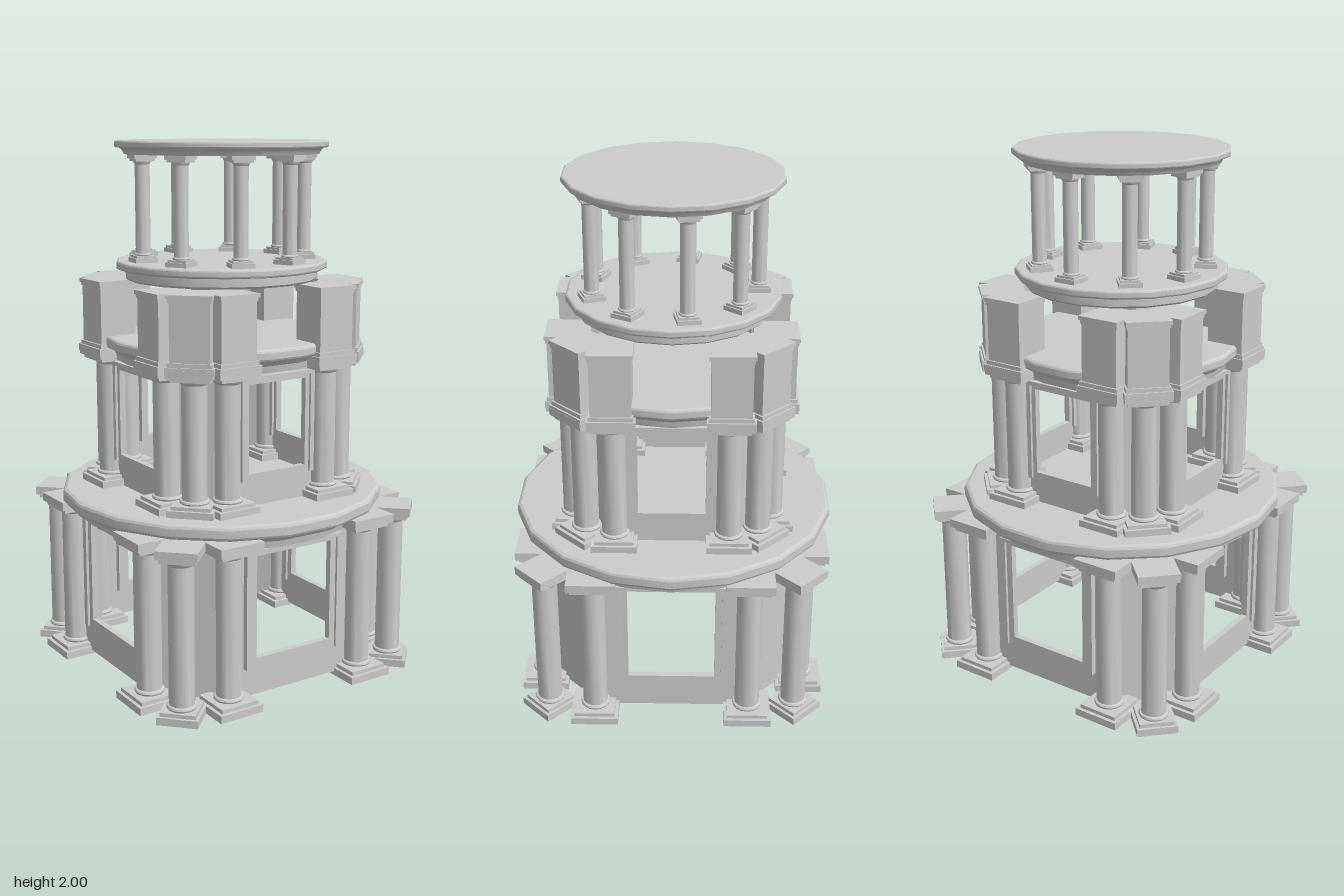
import * as THREE from 'three';
import { toCreasedNormals } from 'three/addons/utils/BufferGeometryUtils.js';

const smooth = new THREE.MeshStandardMaterial({ color: 0xcccccc });
const flat = new THREE.MeshStandardMaterial({ color: 0xcccccc, flatShading: true });
const thin = new THREE.MeshStandardMaterial({ color: 0xcccccc, side: THREE.DoubleSide });

function add(parent, name, geometry, material = flat) {
  const mesh = new THREE.Mesh(geometry, material);
  mesh.name = name;
  parent.add(mesh);
  return mesh;
}

function group(parent, name, angle = 0) {
  const g = new THREE.Group();
  g.name = name;
  g.rotation.y = angle;
  parent.add(g);
  return g;
}

// Box standing on height y0, reaching to y1
function block(parent, name, w, d, y0, y1, x = 0, z = 0) {
  const mesh = add(parent, name, new THREE.BoxGeometry(w, y1 - y0, d));
  mesh.position.set(x, (y0 + y1) / 2, z);
}

// Eighteen-sided disc from [radius, height] pairs, with a corner on the x axis
function disc(parent, name, profile) {
  const pts = profile.map(([r, y]) => new THREE.Vector2(r, y));
  const geometry = toCreasedNormals(new THREE.LatheGeometry(pts, 18), 0.45);
  add(parent, name, geometry, smooth).rotation.y = Math.PI / 2;
}

// Slab with softened rim
function slab(parent, name, r, y0, y1) {
  const b = (y1 - y0) * 0.25;
  disc(parent, name, [[0, y0], [r - b, y0], [r - b * 0.3, y0 + b * 0.4], [r, y0 + b],
    [r, y1 - b], [r - b * 0.3, y1 - b * 0.4], [r - b, y1], [0, y1]]);
}

// Column with stepped square base and capital; u scales the mouldings
function column(parent, name, r, size, y0, y1, u) {
  const g = group(parent, name);
  block(g, 'plinth', size, size, y0, y0 + 0.028 * u);
  block(g, 'plinthStep', size * 0.85, size * 0.85, y0 + 0.028 * u, y0 + 0.042 * u);
  block(g, 'capitalStep', size * 0.85, size * 0.85, y1 - 0.048 * u, y1 - 0.032 * u);
  block(g, 'abacus', size, size, y1 - 0.032 * u, y1);
  const a = y0 + 0.042 * u, b = y1 - 0.048 * u;
  const pts = [[r * 1.15, a], [r * 1.2, a + 0.006 * u], [r * 1.15, a + 0.012 * u], [r, a + 0.015 * u],
    [r, b - 0.018 * u], [r * 1.15, b - 0.008 * u], [r * 1.2, b]];
  const shaft = new THREE.LatheGeometry(pts.map(p => new THREE.Vector2(...p)), 16);
  add(g, 'shaft', toCreasedNormals(shaft, 0.5), smooth);
  return g;
}

// Repeats a front pair (at x = +-a, z = d) and a diagonal piece (distance e) on four sides
function clusters(parent, make, a, d, e) {
  for (let k = 0; k < 4; k++) {
    const side = group(parent, 'clusterSide', k * Math.PI / 2);
    for (const s of [-1, 1]) make(side, false).position.set(s * a, 0, d);
    make(group(side, 'cornerPivot', Math.PI / 4), true).position.z = e;
  }
}

function rect(shape, hw, y0, y1) {
  shape.moveTo(-hw, y0);
  shape.lineTo(hw, y0);
  shape.lineTo(hw, y1);
  shape.lineTo(-hw, y1);
  shape.closePath();
  return shape;
}

// Eight-sided thin shell, with a framed window on each of the four main sides
function walls(parent, hw, d, y0, y1, win, frame) {
  const [w, b, t] = win;
  const [fw, fb, ft] = frame;
  const mw = (w + fw) / 2, mt = (t + ft) / 2;
  for (let k = 0; k < 4; k++) {
    const side = group(parent, 'wallSide', k * Math.PI / 2);
    const front = rect(new THREE.Shape(), hw, y0, y1);
    front.holes.push(rect(new THREE.Path(), w, b, t));
    add(side, 'windowWall', new THREE.ShapeGeometry(front), thin).position.z = d;

    // Stepped jambs and lintels, over a plain sill
    for (const [name, ow, ot, iw, it, low, depth] of [
      ['outer', fw, ft, mw, mt, fb, 0.044], ['inner', mw, mt, w, t, b, 0.024]]) {
      for (const s of [-1, 1]) block(side, name + 'Jamb', ow - iw, depth, low, ot, s * (ow + iw) / 2, d);
      block(side, name + 'Lintel', iw * 2, depth, it, ot, 0, d);
    }
    block(side, 'sill', mw * 2, 0.024, fb, b, 0, d);

    const corner = rect(new THREE.Shape(), (d - hw) / Math.SQRT2, y0, y1);
    const pivot = group(side, 'cornerWallPivot', Math.PI / 4);
    add(pivot, 'cornerWall', new THREE.ShapeGeometry(corner), thin).position.z = (d + hw) / Math.SQRT2;
  }
}

export function createModel() {
  const model = new THREE.Group();
  model.name = 'tieredTower';

  // Ground storey
  const lower = group(model, 'lowerStorey');
  walls(lower, 0.27, 0.48, 0.015, 0.6, [0.165, 0.16, 0.55], [0.215, 0.125, 0.575]);
  clusters(lower, (side, diag) =>
    column(side, diag ? 'cornerColumn' : 'frontColumn', 0.047, diag ? 0.152 : 0.18, 0, 0.64, 1),
  0.292, 0.5, 0.666);
  disc(lower, 'lowerEntablature', [[0, 0.585], [0.545, 0.585], [0.55, 0.61], [0.575, 0.62], [0.59, 0.64], [0, 0.64]]);
  slab(lower, 'lowerSlab', 0.62, 0.638, 0.695);

  // Second storey
  const middle = group(model, 'middleStorey');
  walls(middle, 0.21, 0.365, 0.695, 1.21, [0.125, 0.82, 1.15], [0.16, 0.795, 1.18]);
  clusters(middle, (side, diag) =>
    column(side, diag ? 'cornerColumn' : 'frontColumn', 0.047, 0.17, 0.695, 1.225, 0.9),
  0.212, 0.37, 0.453);
  disc(middle, 'middleEntablature', [[0, 1.19], [0.405, 1.19], [0.41, 1.215], [0.43, 1.24], [0, 1.24]]);
  slab(middle, 'middleSlab', 0.447, 1.235, 1.28);

  // Corner pedestals
  const attic = group(model, 'pedestals');
  clusters(attic, side => {
    const g = group(side, 'pedestal');
    block(g, 'pedestalFoot', 0.174, 0.174, 1.21, 1.235);
    block(g, 'pedestalFootStep', 0.16, 0.16, 1.235, 1.25);
    block(g, 'pedestalBody', 0.146, 0.146, 1.25, 1.465);
    block(g, 'pedestalLipStep', 0.153, 0.153, 1.46, 1.472);
    block(g, 'pedestalLip', 0.162, 0.162, 1.472, 1.487);
    return g;
  }, 0.212, 0.37, 0.45);

  // Open colonnade with round floor and roof
  const upper = group(model, 'colonnade');
  disc(upper, 'floorUnderside', [[0, 1.487], [0.355, 1.487], [0.365, 1.495], [0.365, 1.525], [0.385, 1.535], [0, 1.535]]);
  slab(upper, 'colonnadeFloor', 0.4, 1.528, 1.56);
  for (let i = 0; i < 9; i++) {
    const pivot = group(upper, 'colonnadePivot', Math.PI + i * Math.PI * 2 / 9);
    column(pivot, 'colonnadeColumn', 0.027, 0.085, 1.56, 1.955, 0.6).position.z = 0.312;
  }
  disc(upper, 'roofUnderside', [[0, 1.95], [0.365, 1.95], [0.372, 1.965], [0.39, 1.98], [0, 1.98]]);
  slab(upper, 'roof', 0.4, 1.974, 2);

  return model;
}
